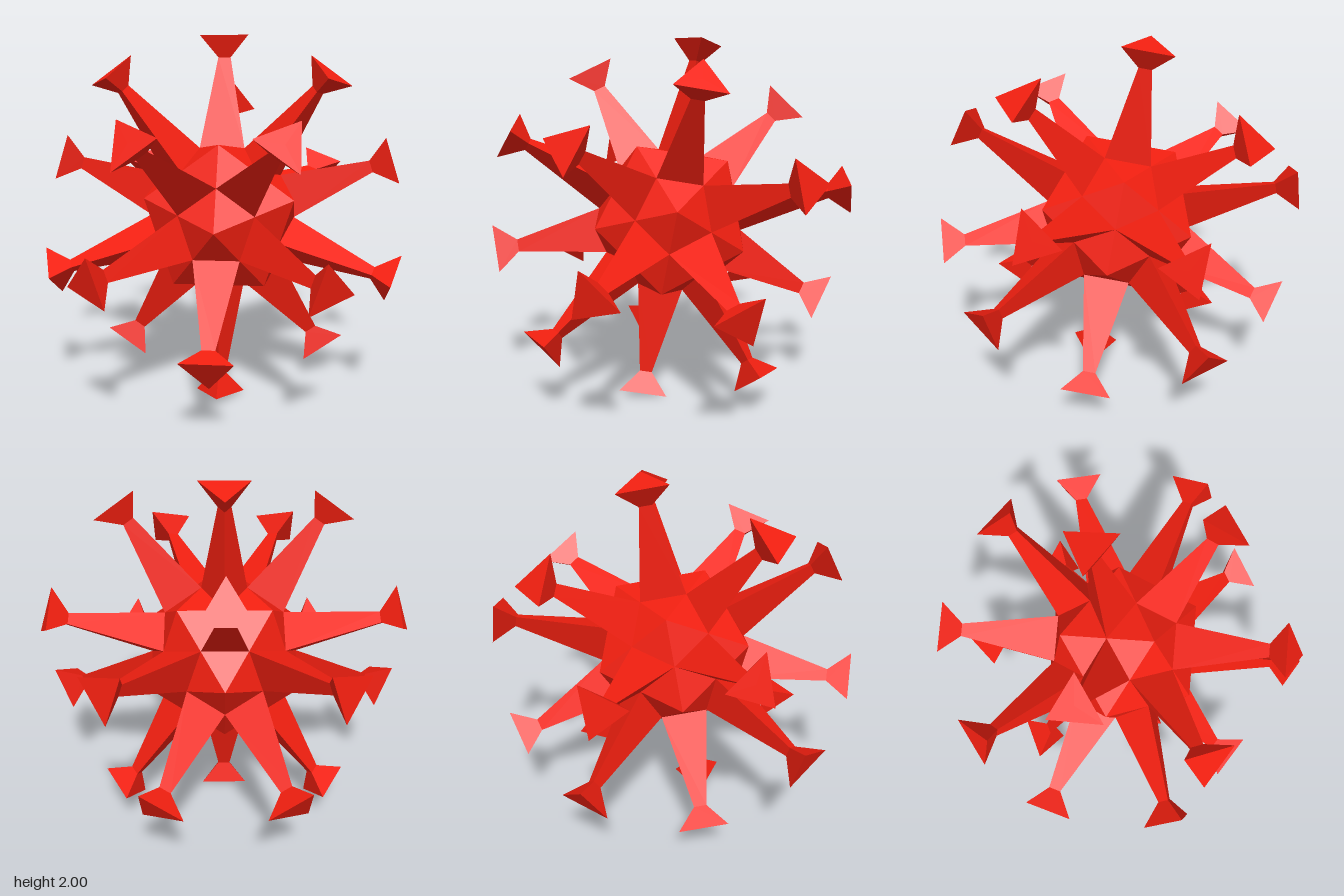
import * as THREE from 'three';
import { ConvexGeometry } from 'three/addons/geometries/ConvexGeometry.js';

const R = 0.475; // circumradius of the icosahedral core

export function createModel() {
  const model = new THREE.Group();
  model.name = 'spikedBall';
  const material = new THREE.MeshStandardMaterial({ color: 0xf21f10, flatShading: true });

  // Icosahedron corners: a pole facing +z, a ring of five, and their opposites
  const pole = new THREE.Vector3(0, 0, R);
  const ring = [];
  for (let i = 0; i < 5; i++) {
    const a = Math.PI / 2 + (i * Math.PI * 2) / 5;
    ring.push(new THREE.Vector3(Math.cos(a) * 2, Math.sin(a) * 2, 1).multiplyScalar(R / Math.sqrt(5)));
  }
  const opposite = (v) => v.clone().negate();
  const corners = [pole, ...ring];

  const core = new THREE.Mesh(new ConvexGeometry([...corners, ...corners.map(opposite)]), material);
  core.name = 'core';
  core.position.y = 1;
  model.add(core);

  // Three-sided spike: base as wide as a face's middle triangle, thin neck, flared flat tip
  const baseHeight = R * 0.7947;
  const baseRadius = R * 0.3035;
  const profile = [
    [baseRadius, baseHeight], [0.04, 0.89], [0.156, 1.003], [0, 1.003],
  ].map(([r, y]) => new THREE.Vector2(r, y));
  const spikeGeometry = new THREE.LatheGeometry(profile, 3);

  // One spike on each face, its corners pointing at the middles of the face's edges
  const addSpike = (a, b, c) => {
    const centre = a.clone().add(b).add(c).divideScalar(3);
    const up = centre.clone().normalize();
    const forward = centre.clone().sub(a).normalize();
    const side = up.clone().cross(forward);
    const spike = new THREE.Mesh(spikeGeometry, material);
    spike.name = 'spike';
    spike.quaternion.setFromRotationMatrix(new THREE.Matrix4().makeBasis(side, up, forward));
    spike.position.y = 1;
    model.add(spike);
  };
  for (let i = 0; i < 5; i++) {
    const p = ring[i];
    const q = ring[(i + 1) % 5];
    for (const tip of [pole, opposite(ring[(i + 3) % 5])]) {
      addSpike(tip, p, q);
      addSpike(opposite(tip), opposite(p), opposite(q));
    }
  }
  return model;
}
